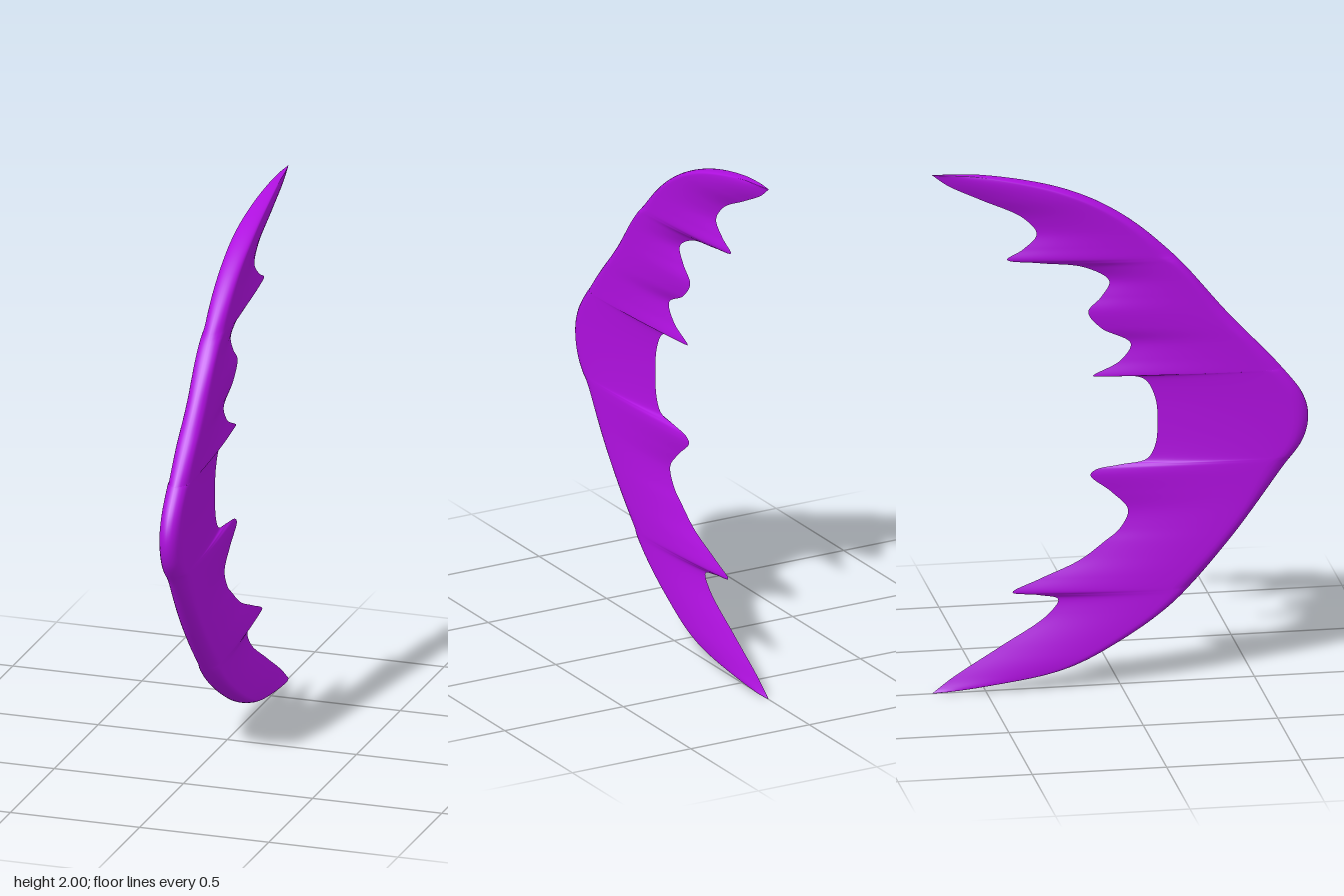
import * as THREE from 'three';

const curve = (pts) => new THREE.CatmullRomCurve3(
  pts.map(([z, y]) => new THREE.Vector3(0, y, z)), false, 'centripetal');

// Smooth leading edge, from the top tip to the bottom tip, as [z, y]
const outerEdge = [
  [-0.7, 2], [-0.5, 1.985], [-0.2, 1.915], [0, 1.815], [0.2, 1.645], [0.4, 1.41],
  [0.6, 1.19], [0.68, 1.08], [0.7, 1], [0.68, 0.91], [0.6, 0.8], [0.4, 0.53],
  [0.2, 0.31], [0, 0.17], [-0.2, 0.075], [-0.5, 0.022], [-0.7, 0],
];

// Toothed trailing edge, from the top tip to the bottom tip, as [z, y]
const innerEdge = [
  [-0.7, 2], [-0.64, 1.955], [-0.52, 1.895], [-0.36, 1.815], [-0.31, 1.75],
  [-0.36, 1.695], [-0.42, 1.658], [-0.3, 1.638], [-0.13, 1.612], [-0.04, 1.555],
  [-0.07, 1.495], [-0.118, 1.44], [-0.07, 1.375], [0.04, 1.31], [0, 1.245],
  [-0.1, 1.192], [0, 1.188], [0.09, 1.17], [0.13, 1.1], [0.14, 1], [0.13, 0.91],
  [0.1, 0.862], [0, 0.845], [-0.09, 0.83], [-0.11, 0.81], [-0.03, 0.74],
  [0.03, 0.67], [0, 0.6], [-0.06, 0.55], [-0.15, 0.485], [-0.3, 0.42],
  [-0.4, 0.374], [-0.3, 0.358], [-0.23, 0.338], [-0.27, 0.28], [-0.45, 0.165],
  [-0.62, 0.06], [-0.7, 0],
];

// z of the leading edge at height y
function makeLookup(points) {
  return (y) => {
    for (let i = 1; i < points.length; i++) {
      const a = points[i - 1], b = points[i];
      if (y >= b.y) {
        const k = THREE.MathUtils.clamp((a.y - y) / (a.y - b.y || 1), 0, 1);
        return a.z + (b.z - a.z) * k;
      }
    }
    return points[points.length - 1].z;
  };
}

// Half thickness: round at the front, sharp at the back, closing at both tips
function halfThickness(s, y) {
  const u = Math.min(1, s / 0.1);
  const end = Math.max(0, (Math.abs(y - 1) - 0.87) / 0.13);
  return 0.04 * Math.sqrt(1 - (1 - u) ** 2) * (1 - s * s)
    * Math.sqrt(Math.max(0, 1 - end * end));
}

function bladeGeometry() {
  const outerZ = makeLookup(curve(outerEdge).getPoints(400));
  const rows = curve(innerEdge).getPoints((innerEdge.length - 1) * 10);
  const n = 18, width = 2 * n + 1;
  const positions = [], indices = [];
  rows.forEach((p, i) => {
    const y = THREE.MathUtils.clamp(p.y, 0, 2);
    const front = outerZ(y);
    // One horizontal section: back edge, round the front, back edge again
    for (let j = -n; j <= n; j++) {
      const s = (j / n) ** 2;
      positions.push(Math.sign(j) * halfThickness(s, y), y, front + (p.z - front) * s);
    }
    if (i === rows.length - 1) return;
    for (let j = 0; j < width - 1; j++) {
      const a = i * width + j, b = a + width;
      indices.push(a, b, a + 1, b, b + 1, a + 1);
    }
  });
  const geometry = new THREE.BufferGeometry();
  geometry.setAttribute('position', new THREE.Float32BufferAttribute(positions, 3));
  geometry.setIndex(indices);
  geometry.computeVertexNormals();
  return geometry;
}

export function createModel() {
  const group = new THREE.Group();
  group.name = 'crescentBlade';
  const blade = new THREE.Mesh(bladeGeometry(),
    new THREE.MeshStandardMaterial({ color: 0xb010e0, side: THREE.DoubleSide }));
  blade.name = 'toothedBlade';
  group.add(blade);
  return group;
}
